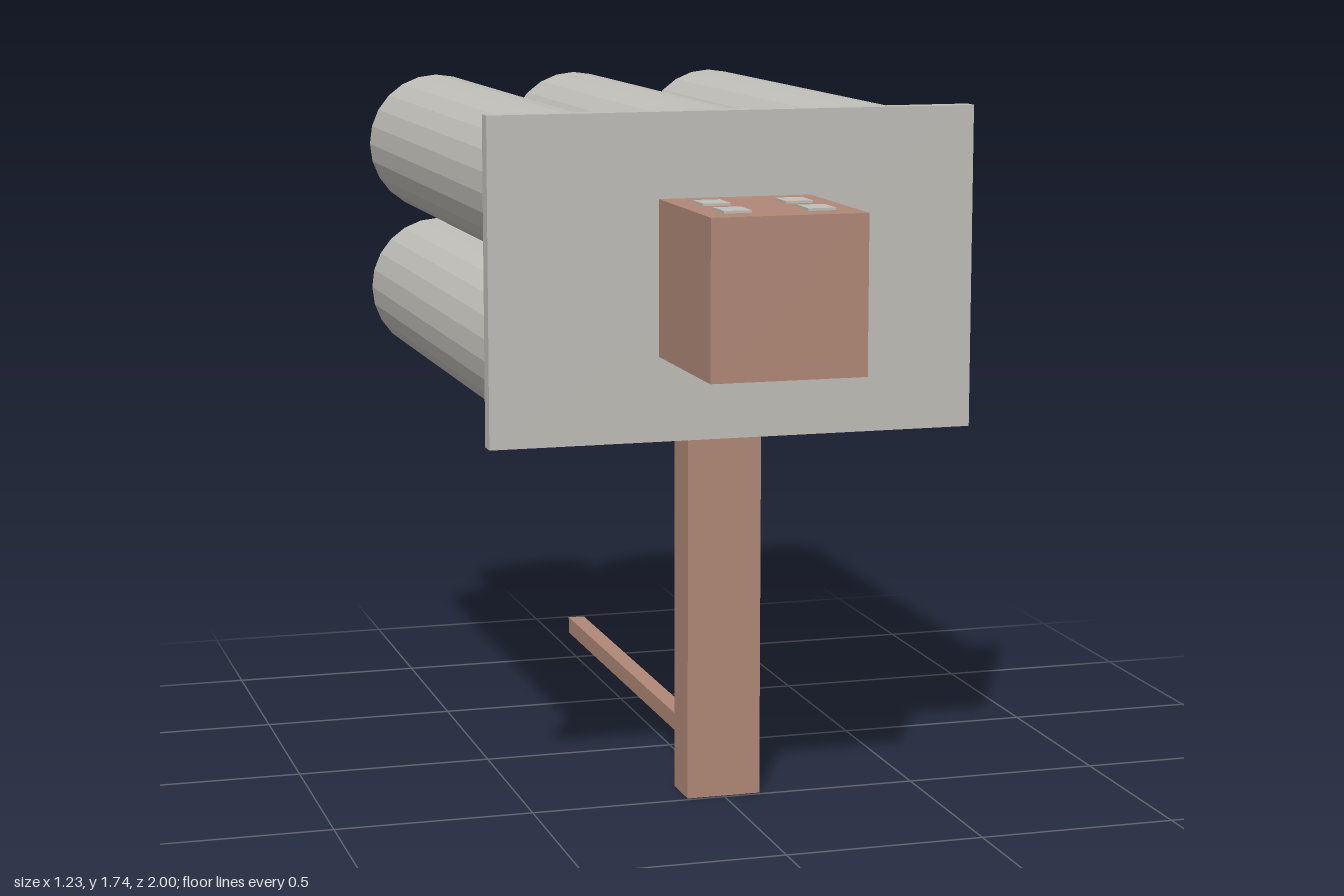
import * as THREE from 'three';

export function createModel() {
  const model = new THREE.Group();
  const grey = new THREE.MeshStandardMaterial({ color: 0xc0beb8, flatShading: true });
  grey.name = 'light grey';
  const brown = new THREE.MeshStandardMaterial({ color: 0xb08878, flatShading: true });
  brown.name = 'clay brown';

  // Box given by its minimum and maximum corners
  const box = (name, material, min, max) => {
    const size = max.map((v, i) => v - min[i]);
    const mesh = new THREE.Mesh(new THREE.BoxGeometry(...size), material);
    mesh.position.set(...max.map((v, i) => (v + min[i]) / 2));
    mesh.name = name;
    model.add(mesh);
  };

  // Six long tubes in three columns and two rows
  const tubeGeometry = new THREE.CylinderGeometry(0.193, 0.193, 1.525, 24).rotateX(Math.PI / 2);
  for (const y of [1.132, 1.542]) {
    for (const x of [-0.405, 0, 0.405]) {
      const tube = new THREE.Mesh(tubeGeometry, grey);
      tube.position.set(x, y, -0.2375);
      tube.name = 'tube';
      model.add(tube);
    }
  }

  // Mounting plate and control box
  box('frontPlate', grey, [-0.617, 0.935, 0.525], [0.617, 1.74, 0.57]);
  box('controlBox', brown, [-0.192, 1.145, 0.57], [0.192, 1.53, 1]);

  // Buttons on the control box
  for (const x of [-0.103, 0.103]) {
    for (const z of [0.712, 0.88]) {
      box('button', grey, [x - 0.034, 1.528, z - 0.043], [x + 0.034, 1.536, z + 0.043]);
    }
  }

  // Post and the thin bar running back from its foot
  box('post', brown, [-0.095, 0, 0.37], [0.095, 0.99, 0.49]);
  box('rearBar', brown, [-0.023, 0.076, -1], [0.023, 0.122, 0.37]);

  return model;
}
